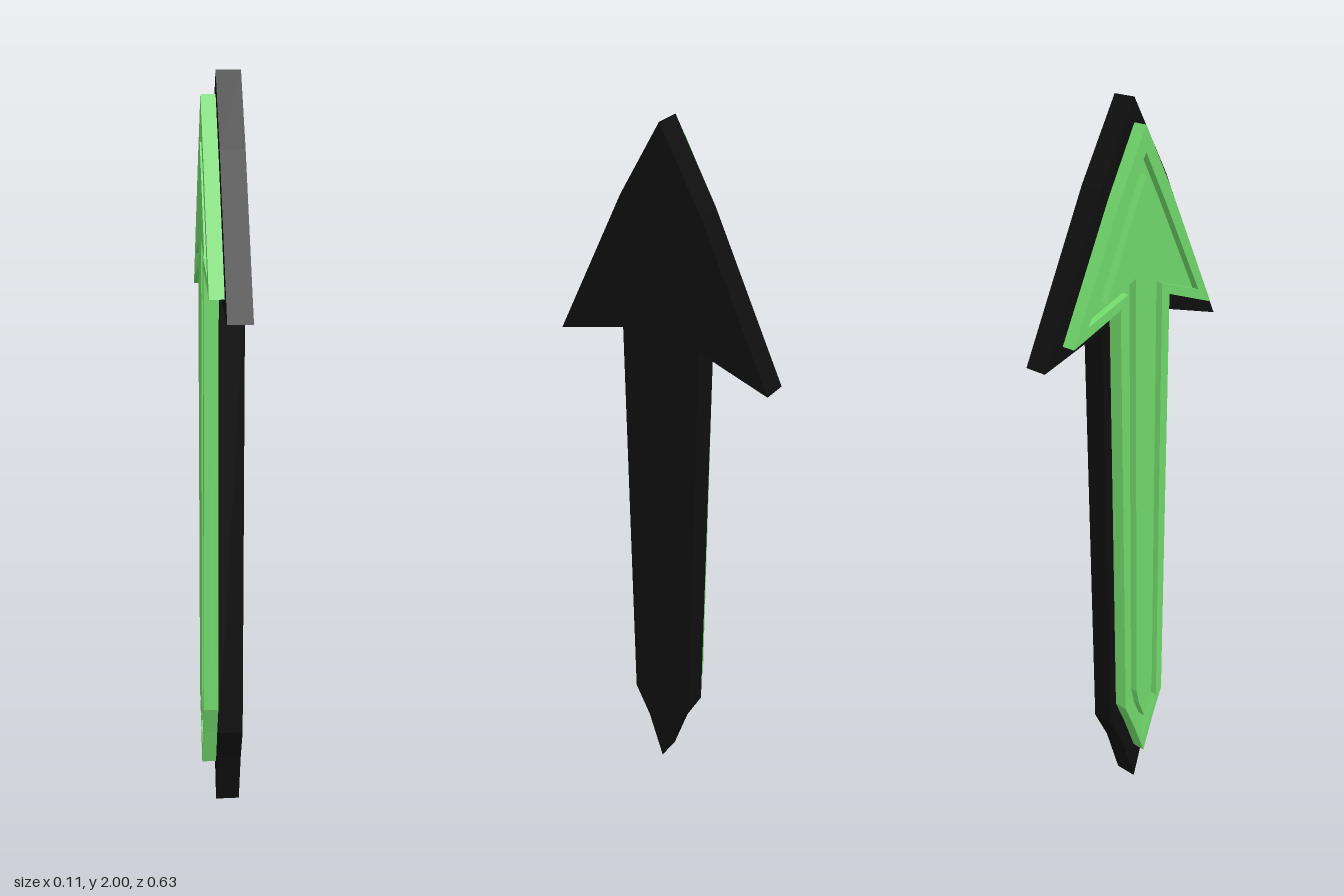
import * as THREE from 'three';

// Half outlines as [z, y], from the tip down to the bottom point
const backing = [[0, 2], [0.115, 1.8], [0.315, 1.385], [0.115, 1.445], [0.095, 0.24], [0.047, 0.145], [0, 0]];
const plate = [[0, 1.94], [0.09, 1.775], [0.253, 1.44], [0.09, 1.5], [0.075, 0.3], [0.04, 0.22], [0, 0.115]];
const groove = [[0, 1.875], [0.07, 1.745], [0.203, 1.485], [0.062, 1.535], [0.053, 0.285], [0.03, 0.235], [0, 0.17]];
const island = [[0, 1.82], [0.05, 1.72], [0.14, 1.53], [0.038, 1.57], [0.032, 0.34], [0.02, 0.29], [0, 0.24]];

// Mirror a half outline into a closed arrow
function mirrored(half) {
  const other = half.slice(1, -1).reverse().map(([z, y]) => [-z, y]);
  return [...half, ...other].map(([z, y]) => new THREE.Vector2(-z, y));
}

// Extrude an arrow along x between x0 and x1, with an optional arrow-shaped opening
function arrow(name, half, x0, x1, material, opening) {
  const shape = new THREE.Shape(mirrored(half));
  if (opening) shape.holes.push(new THREE.Path(mirrored(opening)));
  const geometry = new THREE.ExtrudeGeometry(shape, { depth: x1 - x0, bevelEnabled: false });
  geometry.rotateY(Math.PI / 2);
  geometry.translate(x0, 0, 0);
  const mesh = new THREE.Mesh(geometry, material);
  mesh.name = name;
  return mesh;
}

export function createModel() {
  const black = new THREE.MeshStandardMaterial({ color: 0x0f0f0f });
  black.name = 'black';
  const green = new THREE.MeshStandardMaterial({ color: 0x72d96b });
  green.name = 'green';

  const model = new THREE.Group();
  model.name = 'arrow';
  model.add(
    arrow('backing', backing, -0.013, 0.052, black),
    // Green face: floor of the groove, raised rim and raised centre
    arrow('grooveFloor', plate, -0.032, -0.013, green),
    arrow('rim', plate, -0.052, -0.032, green, groove),
    arrow('centreArrow', island, -0.054, -0.032, green)
  );
  return model;
}
